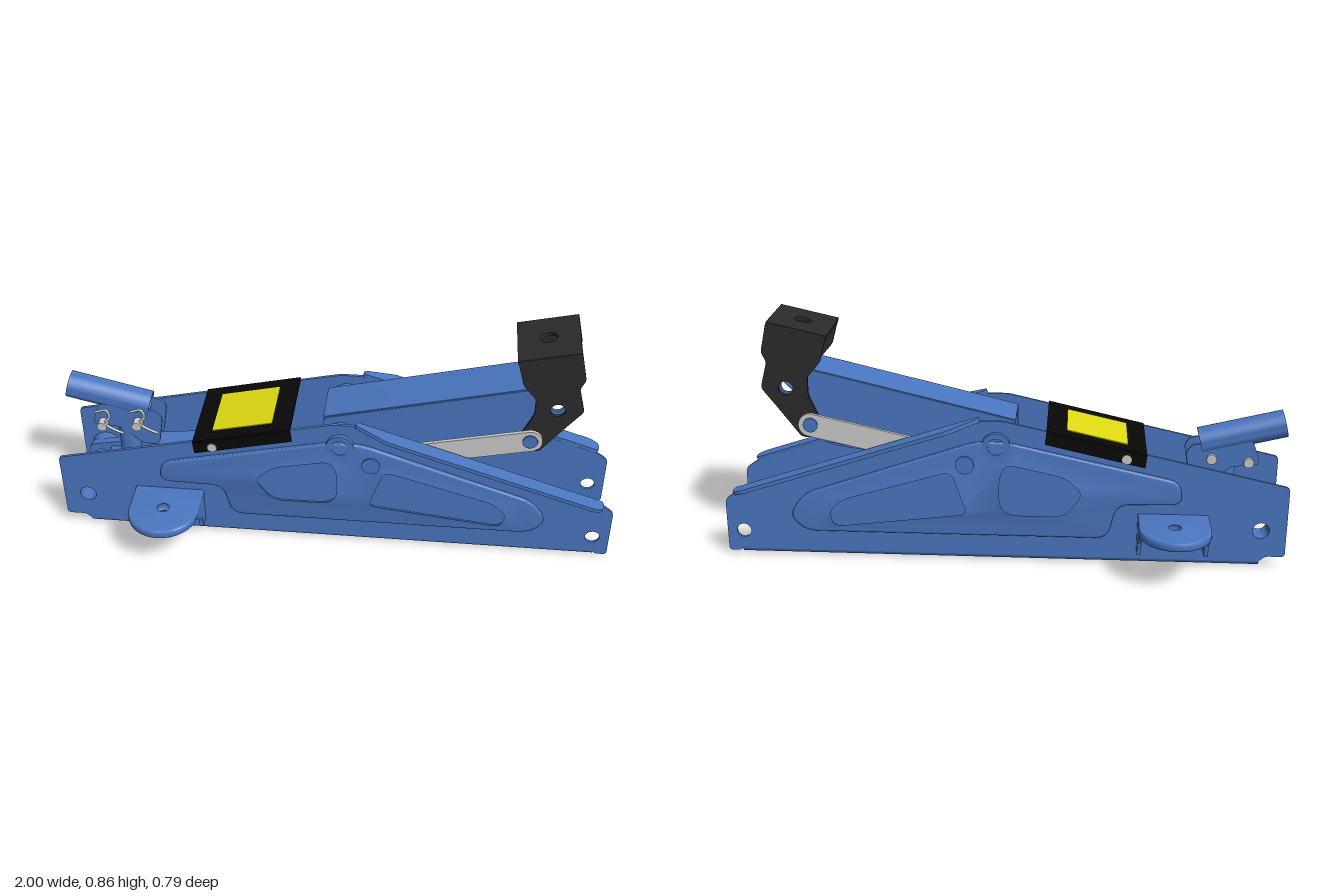
import * as THREE from 'three';
import { toCreasedNormals } from 'three/addons/utils/BufferGeometryUtils.js';

const mat = (color) => new THREE.MeshStandardMaterial({ color, side: THREE.DoubleSide });
const blue = mat(0x4a76c0), black = mat(0x2b2b2b), coverBlack = mat(0x080808);
const yellow = mat(0xe0dc12), grey = mat(0xcccccc), darkGrey = mat(0x77776f);

function add(parent, name, geo, material) {
  const m = new THREE.Mesh(geo, material);
  m.name = name;
  parent.add(m);
  return m;
}

// Closed outline with corners rounded by radius r
function outline(pts, r = 0, Type = THREE.Shape) {
  const v = pts.map((p) => new THREE.Vector2(...p)), s = new Type(), n = v.length;
  if (!r) return s.setFromPoints(v);
  v.forEach((p, i) => {
    const toward = (q) => p.clone().lerp(q, Math.min(0.45, r / p.distanceTo(q)));
    const a = toward(v[(i + n - 1) % n]), b = toward(v[(i + 1) % n]);
    if (i) s.lineTo(a.x, a.y); else s.moveTo(a.x, a.y);
    s.quadraticCurveTo(p.x, p.y, b.x, b.y);
  });
  s.closePath();
  return s;
}
const circle = (x, y, r) => new THREE.Path().absarc(x, y, r, 0, Math.PI * 2, true);

// Outline in x,y given thickness from z0 to z1
function plate(shape, z0, z1, holes = [], bevel = 0) {
  shape.holes.push(...holes);
  const g = new THREE.ExtrudeGeometry(shape, {
    depth: z1 - z0 - 2 * bevel, curveSegments: 14, bevelEnabled: bevel > 0,
    bevelSize: bevel, bevelThickness: bevel, bevelOffset: -bevel, bevelSegments: 3,
  });
  return toCreasedNormals(g.translate(0, 0, z0 + bevel), 0.6);
}

// Plate on one side of the model, s = 1 or -1
const sidePlate = (shape, s, z0, z1, holes, bevel) =>
  s > 0 ? plate(shape, z0, z1, holes, bevel) : plate(shape, -z1, -z0, holes, bevel);

// Strip following an x,y polyline with thickness t below it
function strip(pts, t, z0, z1) {
  const back = pts.map(([x, y]) => [x, y - t]).reverse();
  return plate(outline([...pts, ...back]), z0, z1);
}

// Rod (or tube when ri > 0) between two points
function rod(a, b, r, ri = 0, sides = 32) {
  const A = new THREE.Vector3(...a), B = new THREE.Vector3(...b), L = A.distanceTo(B);
  const p = [[ri, 0], [r, 0], [r, L], [ri, L]];
  if (ri) p.push([ri, 0]);
  const g = toCreasedNormals(new THREE.LatheGeometry(p.map((q) => new THREE.Vector2(...q)), sides), 0.6);
  const q = new THREE.Quaternion().setFromUnitVectors(new THREE.Vector3(0, 1, 0), B.sub(A).normalize());
  return g.applyQuaternion(q).translate(A.x, A.y, A.z);
}

function buildFrameSide(s) {
  const g = new THREE.Group();
  g.name = s > 0 ? 'leftFrame' : 'rightFrame';
  add(g, 'framePlate', sidePlate(outline([[-1, 0.04], [-0.93, 0.04], [-0.91, 0.02], [0.95, 0.02], [0.96, 0.01], [1, 0.01],
    [1, 0.21], [0.96, 0.24], [0.08, 0.53], [0, 0.53], [-1, 0.305]], 0.015), s, 0.143, 0.153,
  [circle(-0.91, 0.14, 0.03), circle(0.94, 0.09, 0.026), circle(0.025, 0.44, 0.03)]), blue);

  // Raised pressing with two sunken windows
  const windows = [
    outline([[-0.29, 0.27], [-0.22, 0.335], [-0.01, 0.38], [0.02, 0.33], [0.02, 0.21], [-0.02, 0.175], [-0.22, 0.175]], 0.04, THREE.Path),
    outline([[0.12, 0.175], [0.18, 0.35], [0.58, 0.23], [0.63, 0.18], [0.61, 0.115]], 0.04, THREE.Path),
  ];
  add(g, 'raisedPanel', sidePlate(outline([[-0.63, 0.235], [-0.62, 0.32], [0, 0.458], [0.1, 0.455], [0.71, 0.245],
    [0.77, 0.16], [0.71, 0.1], [-0.37, 0.1], [-0.4, 0.23]], 0.045), s, 0.145, 0.166, windows, 0.006), blue);
  add(g, 'linkBoss', rod([0.135, 0.37, s * 0.13], [0.135, 0.37, s * 0.172], 0.033), blue);
  add(g, 'pivotCollar', rod([0.025, 0.44, s * 0.14], [0.025, 0.44, s * 0.168], 0.05, 0.03), blue);

  // Bottom edge curled inward
  const curl = new THREE.Shape();
  curl.moveTo(0.153, 0.05);
  curl.lineTo(0.153, 0.032);
  curl.quadraticCurveTo(0.153, 0, 0.125, 0);
  curl.lineTo(0.11, 0);
  curl.lineTo(0.11, 0.008);
  curl.lineTo(0.123, 0.008);
  curl.quadraticCurveTo(0.145, 0.008, 0.145, 0.032);
  curl.lineTo(0.145, 0.05);
  const lip = plate(curl, -0.91, 0.95).rotateY(Math.PI / 2);
  // after turning, the section faces -z; flip it for the left side
  if (s > 0) lip.rotateY(Math.PI).translate(0.04, 0, 0);
  add(g, 'bottomFlange', lip, blue);

  // Top edge turned outward along the slope
  const L = 0.927;
  const flange = plate(outline([[0, 0.143], [0, 0.163], [0.12, 0.2], [L - 0.03, 0.2], [L, 0.185], [L, 0.143]], 0.015), 0, 0.014);
  flange.rotateX(s > 0 ? Math.PI / 2 : -Math.PI / 2).rotateZ(-0.318).translate(0.08, s > 0 ? 0.543 : 0.53, 0);
  add(g, 'topFlange', flange, blue);

  // Caster pad with side gussets
  const pad = new THREE.Shape();
  pad.moveTo(-0.725, 0.15);
  pad.lineTo(-0.725, 0.27);
  pad.absarc(-0.6, 0.27, 0.125, Math.PI, 0, true);
  pad.lineTo(-0.475, 0.15);
  const padGeo = plate(pad, 0, 0.032, [circle(-0.6, 0.265, 0.03)], 0.008).rotateX(s * Math.PI / 2);
  add(g, 'casterPad', padGeo.translate(0, s > 0 ? 0.196 : 0.164, 0), blue);
  for (const x of [-0.725, -0.49]) {
    const rib = plate(outline([[0.15, 0.18], [0.3, 0.18], [0.2, 0.1], [0.2, 0.055], [0.15, 0.055]], 0.008), 0, 0.015);
    rib.rotateY(s > 0 ? -Math.PI / 2 : Math.PI / 2).translate(x + (s > 0 ? 0.015 : 0), 0, 0);
    add(g, 'padGusset', rib, blue);
  }
  const bolts = [circle(0, 0, 0.03)];
  for (let i = 0; i < 6; i++) bolts.push(circle(0.058 * Math.cos(i * Math.PI / 3), 0.058 * Math.sin(i * Math.PI / 3), 0.011));
  const disc = new THREE.Shape().absarc(0, 0, 0.088, 0, Math.PI * 2);
  add(g, 'casterRing', plate(disc, 0, 0.012, bolts).rotateX(-Math.PI / 2).translate(-0.6, 0.153, s * 0.265), darkGrey);

  // Rear axle bush and lift pivot bush
  add(g, 'rearBush', rod([-0.91, 0.14, s * 0.07], [-0.91, 0.14, s * 0.144], 0.056, 0.03), blue);
  add(g, 'pivotBush', rod([0.025, 0.44, s * 0.085], [0.025, 0.44, s * 0.144], 0.055, 0.03), blue);
  return g;
}

function buildLiftArm() {
  const g = new THREE.Group();
  g.name = 'liftArm';
  for (const s of [1, -1]) {
    add(g, 'armSide', sidePlate(outline([[-0.04, 0.40], [-0.04, 0.51], [0.62, 0.67], [0.78, 0.705], [0.84, 0.605], [0.68, 0.435],
      [0.6, 0.41], [0.25, 0.35], [0.13, 0.25], [0.1, 0.1], [0.01, 0.1], [-0.02, 0.25]], 0.02), s, 0.078, 0.09,
    [circle(0.025, 0.44, 0.03), circle(0.762, 0.625, 0.025), circle(0.68, 0.495, 0.02)]), blue);
    const link = new THREE.Shape().absarc(0, 0, 0.042, Math.PI / 2, Math.PI * 1.5);
    link.absarc(0.56, 0, 0.042, -Math.PI / 2, Math.PI / 2);
    add(g, 'parallelLink', sidePlate(link, s, 0.119, 0.132, [circle(0.56, 0, 0.026)])
      .rotateZ(0.222).translate(0.135, 0.37, 0), grey);
    add(g, 'linkPin', rod([0.68, 0.495, s * 0.085], [0.68, 0.495, s * 0.138], 0.026), blue);
  }
  add(g, 'armTop', strip([[-0.04, 0.513], [0.62, 0.672], [0.79, 0.712]], 0.012, -0.084, 0.084), blue);
  add(g, 'armBottom', strip([[0.25, 0.365], [0.6, 0.412], [0.645, 0.428], [0.68, 0.48]], 0.014, -0.08, 0.08), blue);
  return g;
}

function buildSaddle() {
  const g = new THREE.Group();
  g.name = 'saddle';
  for (const s of [1, -1]) {
    add(g, 'saddleCheek', sidePlate(outline([[0.612, 0.815], [0.818, 0.862], [0.842, 0.755], [0.825, 0.72], [0.85, 0.625],
      [0.8, 0.56], [0.715, 0.445], [0.66, 0.445], [0.638, 0.49], [0.685, 0.6], [0.685, 0.665], [0.638, 0.72]], 0.012),
    s, 0.108, 0.12, [circle(0.762, 0.625, 0.025), circle(0.68, 0.495, 0.026)]), black);
  }
  const top = plate(outline([[-0.106, -0.118], [0.106, -0.118], [0.106, 0.118], [-0.106, 0.118]]), 0, 0.014, [circle(0, 0, 0.03)]);
  add(g, 'saddleTop', top.rotateX(-Math.PI / 2).rotateZ(0.224).translate(0.717, 0.826, 0), black);
  return g;
}

function buildPump() {
  const g = new THREE.Group();
  g.name = 'hydraulicPump';
  add(g, 'cylinder', rod([-0.6, 0.155, 0], [-0.2, 0.16, 0], 0.12, 0, 40), blue);
  add(g, 'hexNut', rod([-0.2, 0.175, 0], [-0.15, 0.175, 0], 0.095, 0, 6), blue);
  add(g, 'ram', rod([-0.16, 0.19, 0], [0.05, 0.19, 0], 0.04), grey);
  add(g, 'ramPin', rod([0.055, 0.19, -0.09], [0.055, 0.19, 0.09], 0.03), blue);
  // Valve block narrowing toward the rear
  add(g, 'valveBlock', plate(outline([[-0.7, 0.07], [-0.64, 0.08], [-0.45, 0.11], [-0.45, -0.11], [-0.64, -0.08], [-0.7, -0.07]]), 0.06, 0.27)
    .rotateX(-Math.PI / 2), blue);
  for (const s of [1, -1]) {
    add(g, 'rearYoke', sidePlate(outline([[-0.96, 0.09], [-0.96, 0.19], [-0.65, 0.25], [-0.65, 0.08]], 0.03),
      s, 0.07, 0.1, [circle(-0.91, 0.14, 0.03)]), blue);
  }
  add(g, 'pumpPlunger', rod([-0.78, 0.16, -0.03], [-0.78, 0.36, -0.03], 0.038), blue);
  add(g, 'pumpBase', new THREE.BoxGeometry(0.22, 0.1, 0.15).translate(-0.76, 0.14, 0), blue);
  return g;
}

function buildHandle() {
  const g = new THREE.Group();
  g.name = 'handleSocket';
  add(g, 'socketTube', rod([-0.984, 0.503, -0.035], [-0.69, 0.43, -0.035], 0.049, 0.037), blue);
  for (const z of [-0.076, 0]) {
    add(g, 'socketBracket', plate(outline([[-0.87, 0.45], [-0.66, 0.43], [-0.64, 0.40], [-0.66, 0.28], [-0.72, 0.28], [-0.8, 0.35],
      [-0.9, 0.36], [-0.89, 0.4]], 0.015), z, z + 0.01), blue);
  }
  // Spring clips
  for (const [x, y] of [[-0.86, 0.40], [-0.73, 0.41]]) {
    add(g, 'clipPin', rod([x, y - 0.03, -0.09], [x, y - 0.03, 0.045], 0.018), grey);
    const c = new THREE.CatmullRomCurve3([[-0.02, 0.03], [0.02, 0.04], [0.03, 0.01], [0.01, -0.02], [0.05, -0.05], [0.075, -0.06]]
      .map(([a, b]) => new THREE.Vector3(x + a, y + b, 0.033)));
    add(g, 'springClip', new THREE.TubeGeometry(c, 24, 0.005, 6), grey);
  }
  return g;
}

function buildCover() {
  const g = new THREE.Group();
  g.name = 'topCover';
  const slope = 0.23, y = (x) => 0.415 + (x + 0.5) * slope;
  const slab = (x0, x1, w, t, lift) => strip([[x0, y(x0) + lift], [x1, y(x1) + lift]], t, -w, w);
  add(g, 'coverPlate', slab(-0.5, -0.15, 0.157, 0.012, 0.006), coverBlack);
  add(g, 'coverLabel', slab(-0.435, -0.22, 0.108, 0.006, 0.009), yellow);
  for (const s of [1, -1]) {
    add(g, 'coverSkirt', sidePlate(outline([[-0.495, 0.37], [-0.145, 0.45], [-0.15, 0.495], [-0.5, 0.415]]), s, 0.153, 0.159), coverBlack);
    add(g, 'coverScrew', rod([-0.43, 0.402, s * 0.155], [-0.43, 0.402, s * 0.163], 0.017), grey);
  }
  return g;
}

export function createModel() {
  const model = new THREE.Group();
  model.name = 'floorJack';
  model.add(buildFrameSide(1), buildFrameSide(-1), buildLiftArm(), buildSaddle(), buildPump(), buildHandle(), buildCover());
  return model;
}
